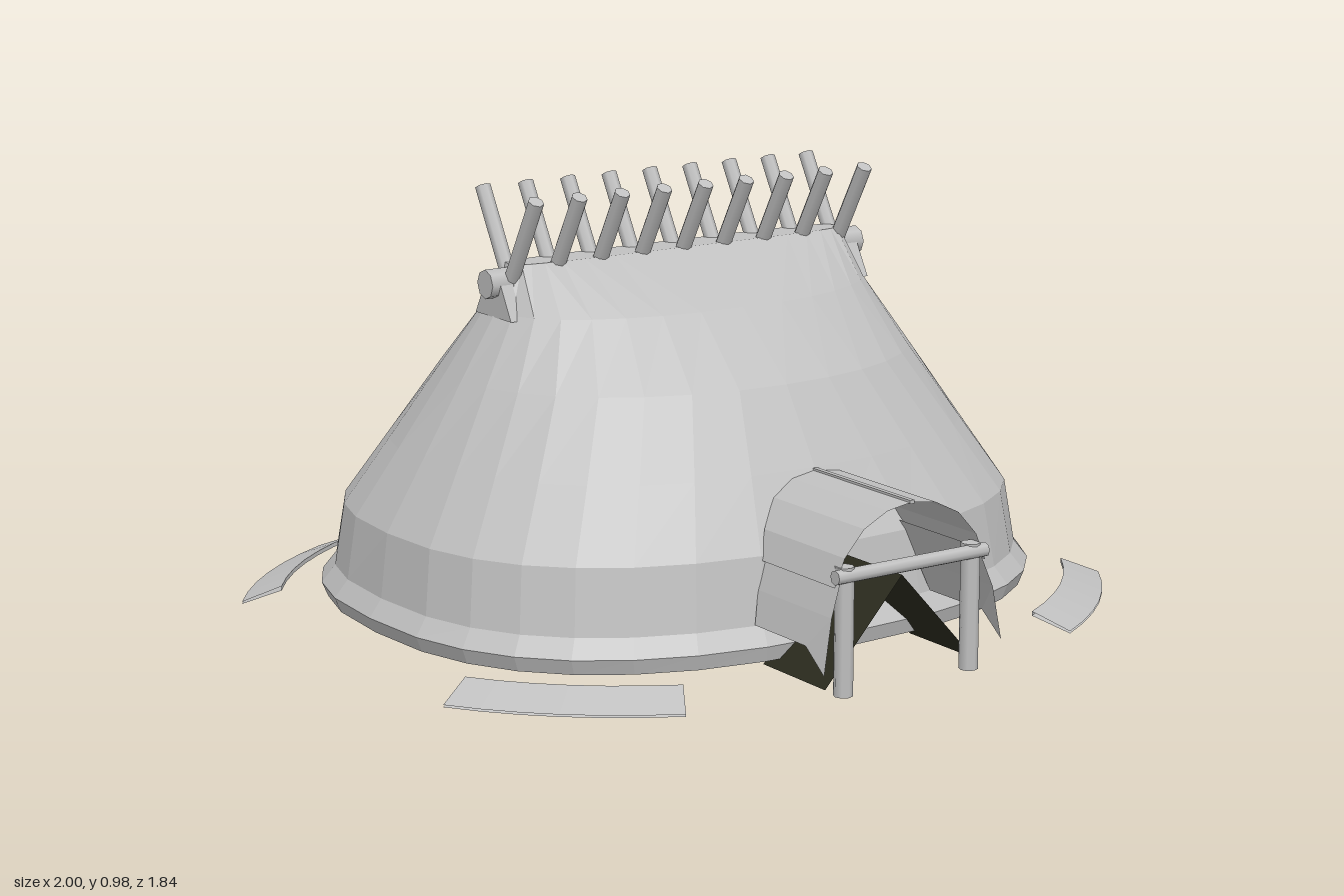
import * as THREE from 'three';

const grey = new THREE.MeshStandardMaterial({ color: 0xc0c0c0, side: THREE.DoubleSide });
grey.name = 'pale thatch';
const dark = new THREE.MeshStandardMaterial({ color: 0x2b2b1e, side: THREE.DoubleSide });
dark.name = 'dark hide';

// Faceted surface through rows of points
function loft(rows) {
  const pos = rows.flat(2), n = rows[0].length, index = [];
  for (let i = 0; i < rows.length - 1; i++) {
    for (let j = 0; j < n - 1; j++) {
      const a = i * n + j, b = a + n;
      index.push(a, b, a + 1, a + 1, b, b + 1);
    }
  }
  let g = new THREE.BufferGeometry();
  g.setAttribute('position', new THREE.Float32BufferAttribute(pos, 3));
  g.setIndex(index);
  g = g.toNonIndexed();
  g.computeVertexNormals();
  return g;
}

// Rounded-rectangle ring (superellipse) at height y
function ring(y, a, b, n, from = 0, to = Math.PI * 2, steps = 32) {
  const pts = [];
  for (let i = 0; i <= steps; i++) {
    const t = from + (to - from) * i / steps, c = Math.cos(t), s = Math.sin(t);
    pts.push([
      a * Math.sign(c) * Math.abs(c) ** (2 / n), y,
      b * Math.sign(s) * Math.abs(s) ** (2 / n),
    ]);
  }
  return pts;
}

export function createModel() {
  const hut = new THREE.Group();
  hut.name = 'hut';
  hut.rotation.y = THREE.MathUtils.degToRad(20.3);

  function add(parent, name, geometry, material = grey) {
    const m = new THREE.Mesh(geometry, material);
    m.name = name;
    parent.add(m);
    return m;
  }
  function pole(parent, name, from, to, radius, sides = 8) {
    const a = new THREE.Vector3(...from), b = new THREE.Vector3(...to);
    const m = add(parent, name, new THREE.CylinderGeometry(radius, radius, a.distanceTo(b), sides));
    m.position.copy(a).add(b).multiplyScalar(0.5);
    m.quaternion.setFromUnitVectors(new THREE.Vector3(0, 1, 0), b.sub(a).normalize());
  }

  // Hollow roof shell: inner face downwards, rim, then outer face upwards
  const profile = [
    [0.79, 0, 0, 2], [0.79, 0.42, 0.02, 3], [0.69, 0.455, 0.24, 2.2], [0.55, 0.545, 0.395, 2.1],
    [0.25, 0.735, 0.59, 2.4], [0.08, 0.765, 0.625, 2.5], [0.03, 0.765, 0.63, 2.5],
    [0.03, 0.8, 0.665, 2.5], [0.065, 0.815, 0.675, 2.5], [0.105, 0.785, 0.645, 2.5],
    [0.25, 0.767, 0.622, 2.45], [0.4, 0.675, 0.53, 2.3], [0.565, 0.575, 0.425, 2.1],
    [0.71, 0.485, 0.26, 2.2], [0.815, 0.45, 0.045, 4], [0.815, 0, 0, 2],
  ];
  add(hut, 'roofShell', loft(profile.map((p) => ring(...p))));

  // Ridge pole and the small gable vents below its ends
  pole(hut, 'ridgePole', [-0.51, 0.775, 0], [0.51, 0.775, 0], 0.033);
  const vent = new THREE.Shape([[-0.075, 0.7], [0.075, 0.7], [0.03, 0.78], [-0.03, 0.78]]
    .map((p) => new THREE.Vector2(...p)));
  for (const s of [-1, 1]) {
    const m = add(hut, 'gableVent', new THREE.ExtrudeGeometry(vent, { depth: 0.06, bevelEnabled: false }));
    m.rotation.y = s * Math.PI / 2;
    m.position.x = s * 0.43;
  }

  // Crossed poles along the ridge
  const crossed = new THREE.Group();
  crossed.name = 'crossedPoles';
  hut.add(crossed);
  for (let i = 0; i < 9; i++) {
    for (const s of [-1, 1]) {
      const x = -0.446 + i * 0.1115 - s * 0.008;
      pole(crossed, 'crossedPole', [x, 0.76, s * 0.005], [x, 0.97, s * 0.125], 0.018, 7);
    }
  }

  // Four sloping ground strips at the corners
  for (let i = 0; i < 4; i++) {
    const from = Math.PI * (i / 2 + (i % 2 ? 1 / 6 : 1 / 6));
    // each strip spans the thirty degrees centred in its quadrant
    const to = from + Math.PI / 6;
    add(hut, 'groundStrip', loft([
      ring(0.005, 1.035, 0.912, 2, from, to, 6),
      ring(0.04, 0.943, 0.823, 2, from, to, 6),
      ring(0.03, 0.943, 0.823, 2, from, to, 6),
      ring(0, 1.035, 0.912, 2, from, to, 6),
    ]));
  }

  // Porch
  const porch = new THREE.Group();
  porch.name = 'porch';
  hut.add(porch);

  // Arched porch roof
  const arch = [[-0.2, 0.24], [-0.175, 0.3], [-0.125, 0.355], [-0.065, 0.385], [0, 0.395],
    [0.065, 0.385], [0.125, 0.355], [0.175, 0.3], [0.2, 0.24]];
  const archRow = (z, curve) => arch.map(([x, y]) => [x, y, z + curve * x * x]);
  add(porch, 'porchRoof', loft([archRow(0.51, 2.5), archRow(0.87, 0)]));
  add(porch, 'porchRidgeSeam', new THREE.BoxGeometry(0.012, 0.008, 0.36)).position.set(0, 0.395, 0.69);

  for (const s of [-1, 1]) {
    // Flared side flap with a drooping front corner
    add(porch, 'sideFlap', loft([
      [[s * 0.18, 0.27, 0.6], [s * 0.18, 0.27, 0.8], [s * 0.18, 0.27, 0.87]],
      [[s * 0.215, 0.18, 0.62], [s * 0.215, 0.18, 0.8], [s * 0.215, 0.18, 0.88]],
      [[s * 0.237, 0.11, 0.64], [s * 0.237, 0.11, 0.82], [s * 0.237, 0.06, 0.885]],
    ]));
    // Post and its dark slanting curtain
    pole(porch, 'porchPost', [s * 0.168, 0, 0.86], [s * 0.168, 0.28, 0.86], 0.021);
    add(porch, 'doorCurtain', loft([
      [[s * 0.2, 0.012, 0.62], [s * 0.2, 0.012, 0.84]],
      [[0, 0.23, 0.62], [0, 0.23, 0.84]],
    ]), dark);
  }
  pole(porch, 'porchBeam', [-0.2, 0.262, 0.87], [0.2, 0.262, 0.87], 0.016);

  const model = new THREE.Group();
  model.name = 'thatchedHut';
  model.add(hut);
  return model;
}
